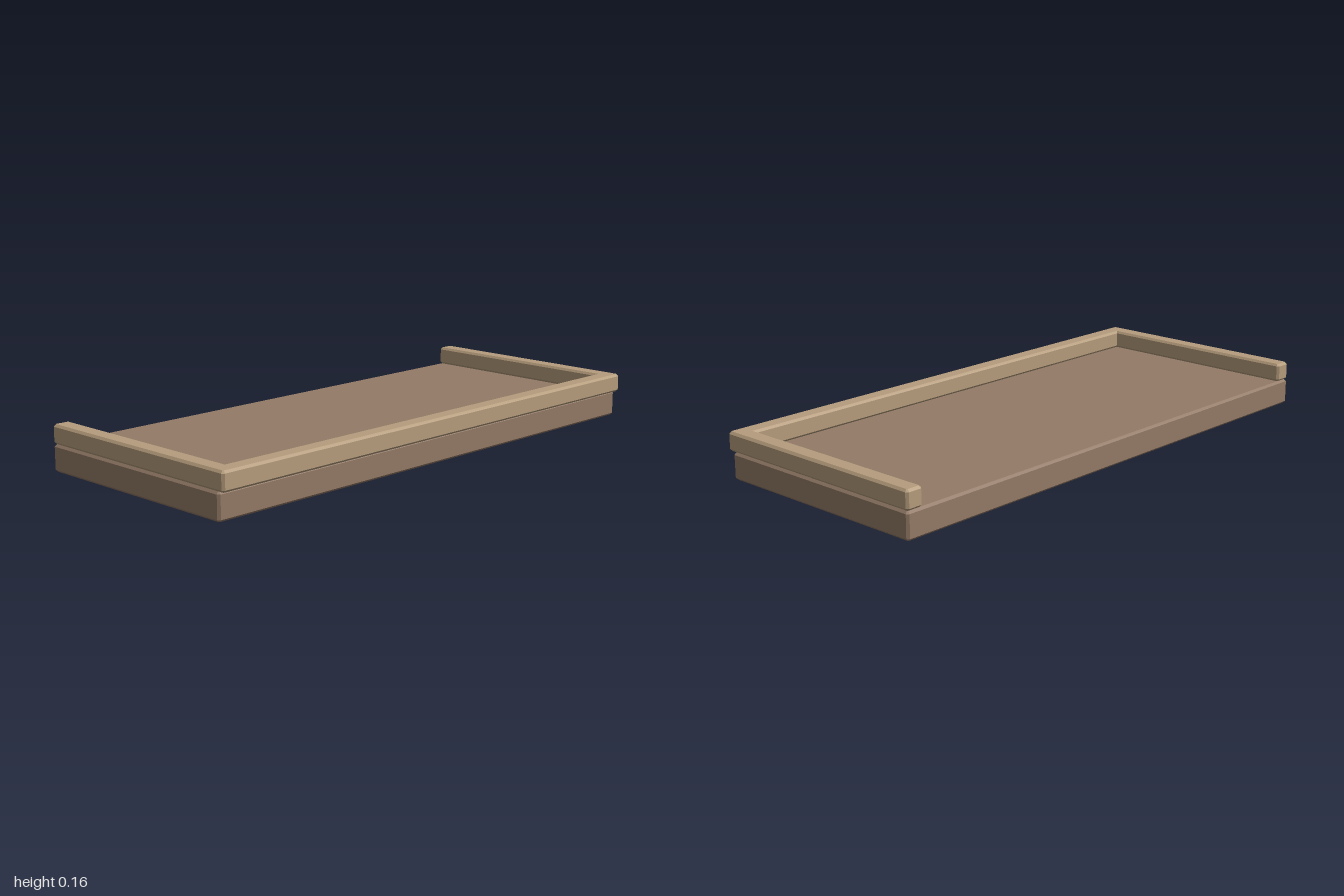
import * as THREE from 'three';

const CHAMFER = 0.008;

// Plan outline from [x, z] corners, with the outward corners cut off.
function chamferedOutline(corners) {
  const points = corners.map(([x, z]) => new THREE.Vector2(x, -z));
  const outline = [];
  points.forEach((p, i) => {
    const toPrev = points.at(i - 1).clone().sub(p).normalize();
    const toNext = points[(i + 1) % points.length].clone().sub(p).normalize();
    if (toNext.cross(toPrev) > 0) {
      outline.push(p.clone().addScaledVector(toPrev, CHAMFER), p.clone().addScaledVector(toNext, CHAMFER));
    } else {
      outline.push(p);
    }
  });
  return new THREE.Shape(outline);
}

// Solid standing between two heights, with all outer edges chamfered.
function chamferedSlab(name, corners, bottom, top, color) {
  const geometry = new THREE.ExtrudeGeometry(chamferedOutline(corners), {
    depth: top - bottom - 2 * CHAMFER,
    bevelEnabled: true,
    bevelSegments: 1,
    bevelSize: CHAMFER,
    bevelThickness: CHAMFER,
    bevelOffset: -CHAMFER,
  });
  geometry.rotateX(-Math.PI / 2);
  geometry.translate(0, bottom + CHAMFER, 0);
  const mesh = new THREE.Mesh(geometry, new THREE.MeshStandardMaterial({ color, flatShading: true }));
  mesh.name = name;
  return mesh;
}

export function createModel() {
  const group = new THREE.Group();
  group.name = 'tray';

  // Base board, set back a little from the front of the rim
  group.add(chamferedSlab('baseBoard', [
    [-1, 0.408], [1, 0.408], [1, -0.43], [-1, -0.43],
  ], 0, 0.095, 0x937a66));

  // U-shaped rim along the front and both sides, open at the back
  group.add(chamferedSlab('rim', [
    [-1, 0.43], [1, 0.43], [1, -0.43], [0.935, -0.43],
    [0.935, 0.365], [-0.935, 0.365], [-0.935, -0.43], [-1, -0.43],
  ], 0.095, 0.163, 0xb59c7c));

  return group;
}
